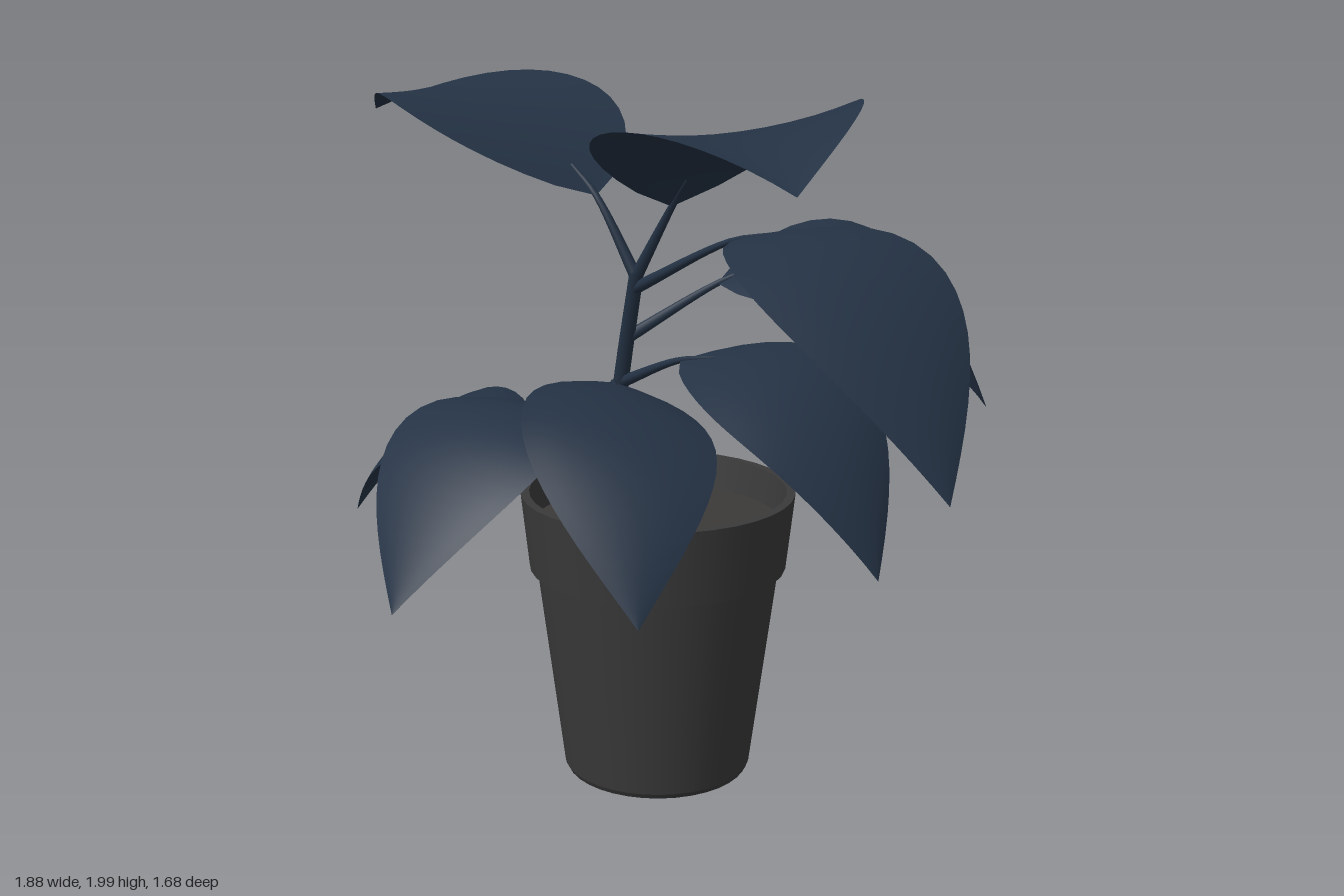
import * as THREE from 'three';

const V = (x, y, z) => new THREE.Vector3(x, y, z);

const leafMat = new THREE.MeshStandardMaterial({ color: 0x243244, side: THREE.DoubleSide });
const stemMat = new THREE.MeshStandardMaterial({ color: 0x243244 });
const potMat = new THREE.MeshStandardMaterial({ color: 0x3a3a3a });
const soilMat = new THREE.MeshStandardMaterial({ color: 0x3c3a38 });

const stemPath = new THREE.CatmullRomCurve3([V(-0.14, 0.72, -0.36), V(-0.09, 1.12, -0.31), V(-0.03, 1.46, -0.21)]);

// tapering round stalk along a curve
function stalk(path, r0, r1, name) {
  const rows = 12, sides = 8;
  const geo = new THREE.TubeGeometry(path, rows, 1, sides);
  const pos = geo.attributes.position;
  const p = V(0, 0, 0);
  for (let i = 0; i < pos.count; i++) {
    const t = Math.floor(i / (sides + 1)) / rows;
    const c = path.getPointAt(t);
    p.fromBufferAttribute(pos, i).sub(c).multiplyScalar(r0 + (r1 - r0) * t).add(c);
    pos.setXYZ(i, p.x, p.y, p.z);
  }
  const mesh = new THREE.Mesh(geo, stemMat);
  mesh.name = name;
  return mesh;
}

// curved blade swept along its midrib; cup > 0 lifts the edges, cup < 0 lets them droop
function blade(rib, roll, width, cup) {
  const run = rib.v2.clone().sub(rib.v0).setY(0).normalize();
  const across = V(run.z, roll, -run.x).normalize();
  const geo = new THREE.PlaneGeometry(2, 1, 10, 18);
  const pos = geo.attributes.position;
  for (let i = 0; i < pos.count; i++) {
    const s = pos.getX(i), t = 0.5 - pos.getY(i);
    const tan = rib.getTangentAt(t);
    const dir = across.clone().addScaledVector(tan, -0.6 * across.dot(tan)).normalize();
    const normal = V(0, 0, 0).crossVectors(tan, dir).normalize();
    // widest nearer the base, drawn out to a point at the tip
    const w = Math.max(0, Math.sin(Math.PI * t ** 0.756));
    const p = rib.getPointAt(t).addScaledVector(dir, s * w * width).addScaledVector(normal, cup * s * s * w);
    pos.setXYZ(i, p.x, p.y, p.z);
  }
  geo.computeVertexNormals();
  const mesh = new THREE.Mesh(geo, leafMat);
  mesh.name = 'leafBlade';
  return mesh;
}

// leaf: stalk leaves the stem at fraction `at`; the midrib arches base - mid - tip
function leaf(name, at, base, mid, tip, roll, width, cup = -0.03) {
  const bend = mid.clone().multiplyScalar(2).addScaledVector(base, -0.5).addScaledVector(tip, -0.5);
  const rib = new THREE.QuadraticBezierCurve3(base, bend, tip);
  const stalkPath = new THREE.CatmullRomCurve3([stemPath.getPointAt(at), base, rib.getPointAt(0.12)]);
  const group = new THREE.Group();
  group.name = name;
  group.add(blade(rib, roll, width, cup), stalk(stalkPath, 0.018, 0.005, 'leafStalk'));
  return group;
}

// pot: each band is its own lathe, so the edges between bands stay sharp
function pot() {
  const group = new THREE.Group();
  group.name = 'pot';
  const points = [[0, 0.05], [0.235, 0.05], [0.245, 0], [0.262, 0], [0.27, 0.015], [0.346, 0.615],
    [0.366, 0.615], [0.39, 0.835], [0.365, 0.835], [0.335, 0.64]].map(([r, y]) => new THREE.Vector2(r, y));
  for (let i = 0; i < points.length - 1; i++) {
    const band = new THREE.Mesh(new THREE.LatheGeometry([points[i], points[i + 1]], 36), potMat);
    band.name = 'potBand';
    group.add(band);
  }
  const soil = new THREE.Mesh(new THREE.CylinderGeometry(0.352, 0.345, 0.03, 36), soilMat);
  soil.name = 'soil';
  soil.position.y = 0.725;
  group.add(soil);
  group.position.set(0.03, 0, -0.215);
  return group;
}

export function createModel() {
  const model = new THREE.Group();
  model.add(pot(), stalk(stemPath, 0.025, 0.02, 'mainStem'));

  // two raised leaves at the crown
  model.add(
    leaf('topFrontLeaf', 0.98, V(0.08, 1.66, -0.11), V(0.3, 1.92, 0.33), V(0.48, 1.85, 0.86), 0.1, 0.33, 0.04),
    leaf('topBackLeaf', 0.98, V(-0.15, 1.66, -0.26), V(-0.53, 1.9, -0.53), V(-0.92, 1.82, -0.8), -0.06, 0.34, 0.02),
  );

  // drooping leaves from the upper stem to the soil
  model.add(
    leaf('upperFrontLeaf', 0.93, V(0.25, 1.59, -0.01), V(0.6, 1.55, 0.26), V(0.84, 1.07, 0.56), 0.1, 0.29),
    leaf('upperSideLeaf', 0.72, V(0.18, 1.41, -0.33), V(0.62, 1.46, -0.36), V(0.94, 1.07, -0.37), 0.33, 0.28),
    leaf('middleSideLeaf', 0.53, V(0.1, 1.23, -0.15), V(0.46, 1.18, 0.05), V(0.67, 0.76, 0.25), 0.2, 0.25),
    leaf('middleFrontLeaf', 0.41, V(-0.08, 1.17, -0.11), V(0.01, 1.11, 0.28), V(0.09, 0.71, 0.56), -0.22, 0.26),
    leaf('lowerFrontLeaf', 0.2, V(-0.22, 1.05, -0.2), V(-0.44, 1.06, 0.09), V(-0.58, 0.66, 0.42), -0.05, 0.27),
    leaf('lowerBackLeaf', 0.06, V(-0.37, 0.97, -0.4), V(-0.69, 0.96, -0.46), V(-0.945, 0.63, -0.52), -0.12, 0.24),
  );
  return model;
}
